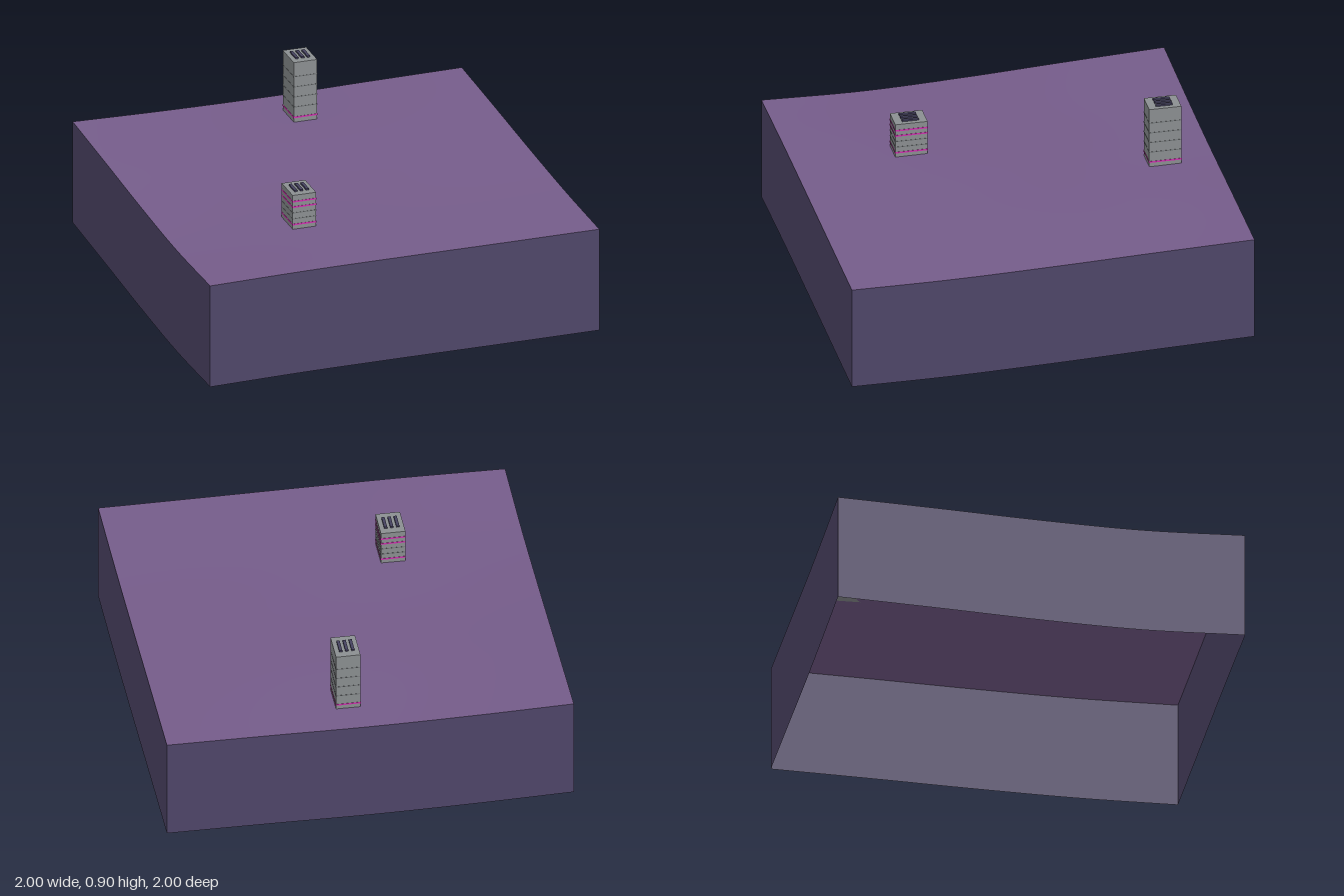
import * as THREE from 'three';

// Ground heights on a 5 x 5 grid; rows run from the back to the front
const HEIGHTS = [
  [0.598, 0.588, 0.585, 0.592, 0.597],
  [0.575, 0.574, 0.578, 0.582, 0.583],
  [0.550, 0.557, 0.564, 0.568, 0.567],
  [0.535, 0.549, 0.556, 0.557, 0.556],
  [0.545, 0.554, 0.556, 0.556, 0.557],
];
const WALL = 0.533;
const SEGMENTS = 32;

// Smooth curve through five evenly spaced values, u from -1 to 1
function spline(v, u) {
  const t = (u + 1) * 2;
  const i = Math.min(3, Math.max(0, Math.floor(t)));
  const f = t - i;
  const b = v[i], c = v[i + 1];
  const a = i > 0 ? v[i - 1] : 2 * b - c;
  const d = i < 3 ? v[i + 2] : 2 * c - b;
  return b + 0.5 * f * (c - a + f * (2 * a - 5 * b + 4 * c - d + f * (3 * (b - c) + d - a)));
}
const groundHeight = (x, z) => spline(HEIGHTS.map((row) => spline(row, x)), z);

export function createModel() {
  const model = new THREE.Group();
  const material = (name, color, side = THREE.FrontSide) => {
    const m = new THREE.MeshStandardMaterial({ color, side });
    m.name = name;
    return m;
  };
  const ground = material('purple ground', 0x755c8a, THREE.DoubleSide);
  const wall = material('indigo wall', 0x4f4669, THREE.DoubleSide);
  const concrete = material('grey concrete', 0x8b8f91);
  const seam = material('dark grey seam', 0x707476);
  const neon = material('magenta light', 0xd030b0);
  const vent = material('dark vent', 0x45425f);

  function add(parent, name, geometry, mat, x = 0, y = 0, z = 0) {
    const mesh = new THREE.Mesh(geometry, mat);
    mesh.name = name;
    mesh.position.set(x, y, z);
    parent.add(mesh);
    return mesh;
  }

  // Rolling ground surface
  const surface = new THREE.PlaneGeometry(2, 2, SEGMENTS, SEGMENTS).rotateX(-Math.PI / 2);
  const pos = surface.attributes.position;
  for (let i = 0; i < pos.count; i++) pos.setY(i, groundHeight(pos.getX(i), pos.getZ(i)));
  surface.computeVertexNormals();
  add(model, 'ground', surface, ground);

  // Four side walls that follow the ground edge, open underneath
  const sides = ['frontWall', 'leftWall', 'backWall', 'rightWall'];
  sides.forEach((name, k) => {
    const g = new THREE.PlaneGeometry(2, WALL, SEGMENTS, 1).translate(0, -WALL / 2, 1);
    g.rotateY(k * Math.PI / 2);
    const p = g.attributes.position;
    for (let i = 0; i < p.count; i++) p.setY(i, p.getY(i) + groundHeight(p.getX(i), p.getZ(i)));
    g.computeVertexNormals();
    add(model, name, g, wall);
  });

  // Tower block with wrapped floor bands and three roof vents
  function tower(name, x, z, top, bands) {
    const group = new THREE.Group();
    group.name = name;
    group.position.set(x, 0, z);
    model.add(group);
    const base = groundHeight(x, z);
    add(group, 'towerBody', new THREE.BoxGeometry(0.12, top - base, 0.16), concrete, 0, (top + base) / 2, 0);
    for (const [y, lit] of bands) {
      const grow = lit ? 0.003 : 0.002;
      const geometry = new THREE.BoxGeometry(0.12 + grow, lit ? 0.008 : 0.004, 0.16 + grow);
      add(group, lit ? 'lightBand' : 'floorSeam', geometry, lit ? neon : seam, 0, y, 0);
    }
    for (const i of [-1, 0, 1]) {
      add(group, 'roofVent', new THREE.BoxGeometry(0.015, 0.008, 0.083), vent, i * 0.03, top + 0.004, 0);
    }
  }
  tower('shortTower', -0.338, 0.417, 0.731,
    [[0.577, true], [0.607, false], [0.638, false], [0.669, true], [0.698, true]]);
  tower('tallTower', 0.08, -0.75, 0.897,
    [[0.608, true], [0.662, false], [0.715, false], [0.768, false], [0.822, false]]);

  return model;
}
